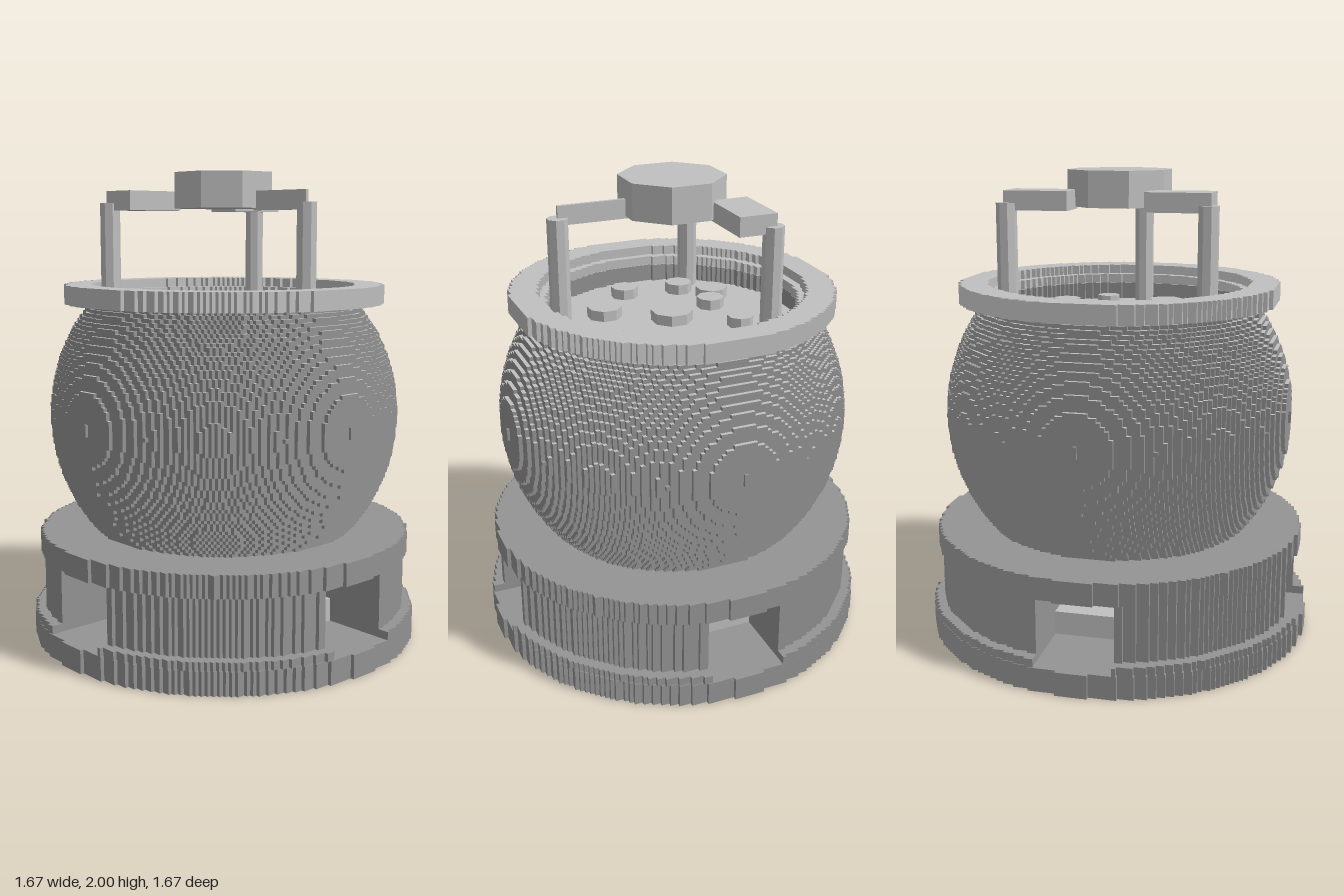
import * as THREE from 'three';

const STEP = 2 / 122; // size of one stair step
const stone = new THREE.MeshStandardMaterial({ color: 0x949494 });
stone.name = 'darkStone';
const metal = new THREE.MeshStandardMaterial({ color: 0xc0c0c0 });
metal.name = 'lightMetal';

// Half width of a stepped circle in the row centred on v
const halfWidth = (r, v) => Math.round(Math.sqrt(Math.max(0, r * r - v * v)) / STEP) * STEP;

// Right-hand staircase edge of a circle, from row v0 up to v1
function staircase(r, v0, minimum) {
  const pts = [];
  let last = null;
  let v = v0;
  for (; v < r; v += STEP) {
    const w = halfWidth(r, v + STEP / 2);
    if (w <= minimum + 1e-6) break;
    if (last === null) pts.push([w, v]);
    else if (Math.abs(w - last) > 1e-6) pts.push([last, v], [w, v]);
    last = w;
  }
  pts.push([last, v]);
  return pts;
}

// Closed stepped circle
function circlePoints(r) {
  const q = staircase(r, 0, 0);
  const back = [...q].reverse();
  return [
    ...q,
    ...back.map(([x, y]) => [-x, y]),
    ...q.slice(1).map(([x, y]) => [-x, -y]),
    ...back.slice(0, -1).map(([x, y]) => [x, -y]),
  ].map(([x, y]) => new THREE.Vector2(x, y));
}

// Upright extrusion between two heights
function extrudeUp(shape, y0, y1) {
  const g = new THREE.ExtrudeGeometry(shape, { depth: y1 - y0, bevelEnabled: false });
  g.rotateX(-Math.PI / 2);
  g.translate(0, y0, 0);
  return g;
}

function disc(r, y0, y1, hole = 0) {
  const shape = new THREE.Shape(circlePoints(r));
  if (hole) shape.holes.push(new THREE.Path(circlePoints(hole)));
  return extrudeUp(shape, y0, y1);
}

// Quarter of a disc, cut back to leave a crossing passage
function quarter(r, gap, y0, y1) {
  const pts = [[gap, gap], ...staircase(r, gap, gap)];
  pts.push([gap, pts[pts.length - 1][1]]);
  return extrudeUp(new THREE.Shape(pts.map(([x, y]) => new THREE.Vector2(x, y))), y0, y1);
}

export function createModel() {
  const model = new THREE.Group();
  const add = (name, geometry, material, parent = model) => {
    const m = new THREE.Mesh(geometry, material);
    m.name = name;
    parent.add(m);
    return m;
  };
  const box = (name, w, h, d, x, y, z) =>
    add(name, new THREE.BoxGeometry(w, h, d), metal).position.set(x, y, z);
  const octagon = (name, r, y0, y1, x, z, parent) => {
    const g = new THREE.CylinderGeometry(r, r, y1 - y0, 8).toNonIndexed();
    g.rotateY(Math.PI / 8);
    g.computeVertexNormals();
    add(name, g, metal, parent).position.set(x, (y0 + y1) / 2, z);
  };

  // Pedestal: plinth, four piers with passages between them, and a cover slab
  add('plinth', disc(0.83, 0, 0.1), stone);
  const plinthEdge = quarter(0.83, 0.16, 0.1, 0.135);
  const pier = quarter(0.785, 0.16, 0.135, 0.375);
  for (let i = 0; i < 4; i++) {
    add('plinthEdge', plinthEdge, stone).rotation.y = (i * Math.PI) / 2;
    add('pier', pier, stone).rotation.y = (i * Math.PI) / 2;
  }
  add('pedestalSlab', disc(0.8, 0.375, 0.47), stone);
  // Raised cross on the passage floor
  box('passageBlock', 1.0, 0.1, 0.32, 0, 0.15, 0);
  box('passageBlock', 0.32, 0.098, 1.0, 0, 0.15, 0);

  // Round bowl in stepped layers, open above the ember bed
  const bowl = new THREE.Group();
  bowl.name = 'bowl';
  model.add(bowl);
  const centre = 0.97, bottom = 0.47, top = 1.45, bed = 1.37;
  const layers = 60;
  const h = (top - bottom) / layers;
  for (let i = 0; i < layers; i++) {
    const y = bottom + i * h;
    const dy = y + h / 2 - centre;
    const r = Math.sqrt(0.745 * 0.745 - dy * dy);
    const hole = y + h > bed + 0.001 ? 0.53 : 0;
    add('bowlLayer', disc(r, y, y + h, hole), dy > 0 ? [metal, stone] : stone, bowl);
  }
  // Small studs at the four outermost points
  for (let i = 0; i < 4; i++) {
    const a = (i * Math.PI) / 2;
    const stud = add('bowlStud', new THREE.BoxGeometry(0.016, 0.05, 0.03), stone, bowl);
    stud.position.set(Math.sin(a) * 0.734, centre, Math.cos(a) * 0.734);
    stud.rotation.y = a;
  }

  // Rim with an inner ledge
  add('rim', disc(0.68, 1.45, 1.53, 0.565), metal);
  add('rimLedge', disc(0.6, 1.451, 1.49, 0.53), metal);
  add('emberBed', disc(0.54, bed - 0.01, bed + 0.005), metal);

  // Embers: x, z, radius
  const embers = new THREE.Group();
  embers.name = 'embers';
  model.add(embers);
  [
    [0.18, -0.29, 0.06], [0.32, -0.13, 0.05], [0.25, 0.15, 0.075], [0.08, 0.36, 0.06],
    [-0.08, -0.35, 0.055], [-0.24, -0.17, 0.055], [-0.28, 0.21, 0.07], [-0.22, 0.09, 0.06],
    [0, 0, 0.09], [-0.17, 0.33, 0.06],
  ].forEach(([x, z, r]) => octagon('ember', r, bed, 1.42, x, z, embers));

  // Tripod: posts, arms and the hub they carry
  [[0.49, 0], [-0.25, 0.42], [-0.25, -0.42]].forEach(([x, z]) =>
    octagon('post', 0.043, bed, 1.87, x, z));
  box('thinArm', 0.3, 0.08, 0.015, 0.34, 1.88, 0);
  for (const s of [1, -1]) box('wideArm', 0.16, 0.08, 0.27, -0.18, 1.88, s * 0.295);
  octagon('hub', 0.222, 1.85, 2, 0, 0);

  return model;
}
